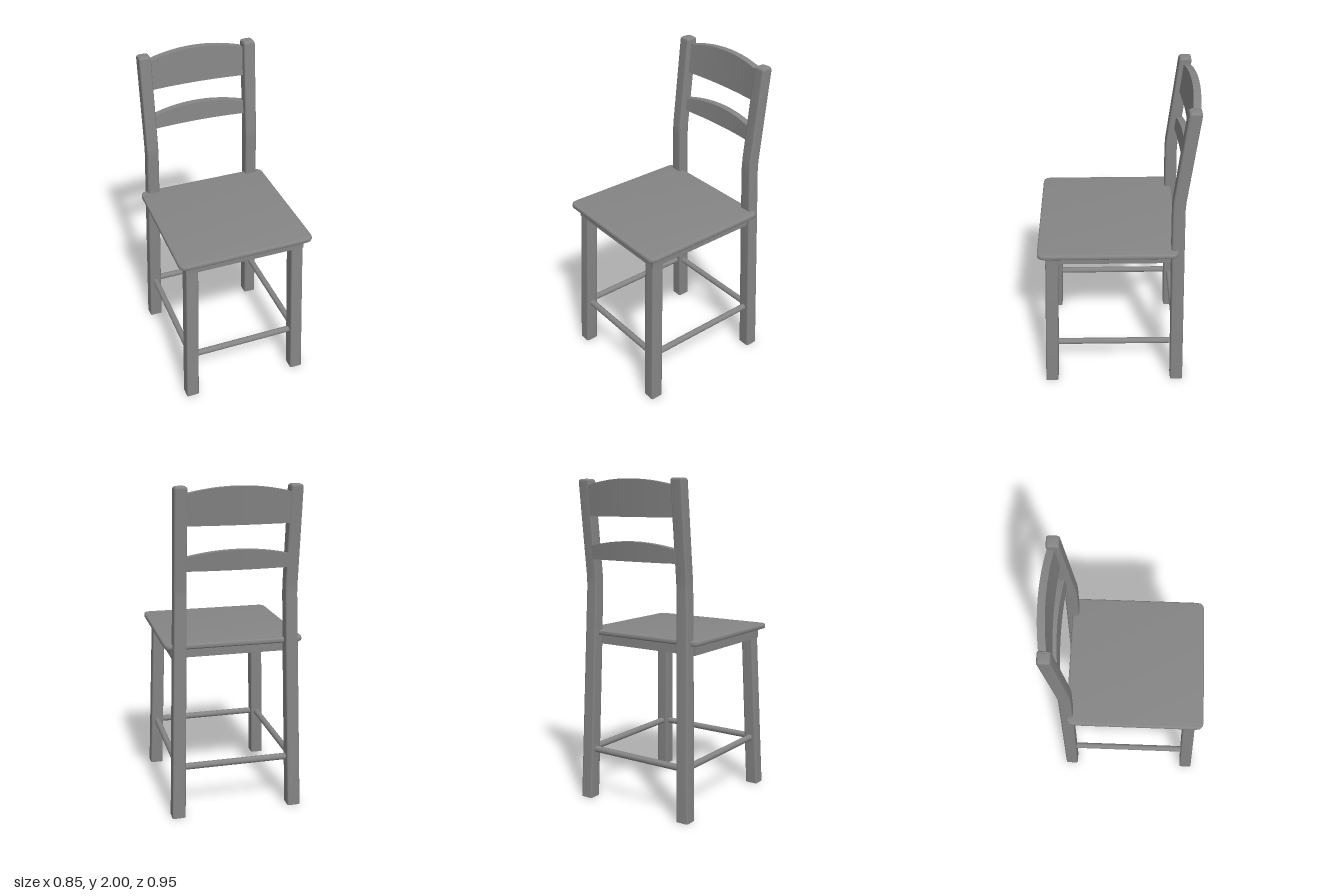
import * as THREE from 'three';
import { toCreasedNormals } from 'three/addons/utils/BufferGeometryUtils.js';

const material = new THREE.MeshStandardMaterial({ color: 0x858585 });

function add(parent, name, geometry) {
  const mesh = new THREE.Mesh(geometry, material);
  mesh.name = name;
  parent.add(mesh);
  return mesh;
}

// Corner points of a square with rounded corners
function roundedSquare(half, radius) {
  const points = [];
  for (let corner = 0; corner < 4; corner++) {
    const mid = Math.PI / 4 + corner * Math.PI / 2;
    const cx = Math.sign(Math.cos(mid)) * (half - radius);
    const cz = Math.sign(Math.sin(mid)) * (half - radius);
    for (let k = -1; k <= 1; k++) {
      const a = mid + k * Math.PI / 4;
      points.push([cx + radius * Math.cos(a), cz + radius * Math.sin(a)]);
    }
  }
  return points;
}

// Square post lofted through stations [y, x, z, half width], with softly shaded ends
function postGeometry(stations) {
  const positions = [], index = [], n = 12;
  for (const [y, x, z, half] of stations) {
    for (const [px, pz] of roundedSquare(half, 0.01)) positions.push(x + px, y, z + pz);
  }
  for (let s = 0; s < stations.length - 1; s++) {
    for (let i = 0; i < n; i++) {
      const a = s * n + i, b = s * n + (i + 1) % n;
      index.push(a, a + n, b, b, a + n, b + n);
    }
  }
  const last = stations.length - 1;
  for (const s of [0, last]) {
    const [y, x, z] = stations[s];
    const centre = positions.length / 3;
    positions.push(x, y, z);
    for (let i = 0; i < n; i++) {
      const a = s * n + i, b = s * n + (i + 1) % n;
      if (s === 0) index.push(centre, a, b);
      else index.push(centre, b, a);
    }
  }
  const geometry = new THREE.BufferGeometry();
  geometry.setAttribute('position', new THREE.Float32BufferAttribute(positions, 3));
  geometry.setIndex(index);
  geometry.computeVertexNormals();
  return geometry;
}

// Seat board with softened corners and a rounded rim
function seatGeometry() {
  const bevel = 0.01, x = 0.423 - bevel, z = 0.422 - bevel, r = 0.035;
  const shape = new THREE.Shape();
  shape.moveTo(-x + r, -z);
  shape.lineTo(x - r, -z);
  shape.quadraticCurveTo(x, -z, x, -z + r);
  shape.lineTo(x, z - r);
  shape.quadraticCurveTo(x, z, x - r, z);
  shape.lineTo(-x + r, z);
  shape.quadraticCurveTo(-x, z, -x, z - r);
  shape.lineTo(-x, -z + r);
  shape.quadraticCurveTo(-x, -z, -x + r, -z);
  const geometry = new THREE.ExtrudeGeometry(shape, {
    depth: 0.012, bevelThickness: 0.01, bevelSize: bevel, bevelSegments: 3, curveSegments: 3,
  });
  geometry.rotateX(-Math.PI / 2);
  geometry.translate(0, 1.06, 0.051);
  return toCreasedNormals(geometry, 0.7);
}

// Back slat: arched top edge, bowed backwards, leaning with the posts
function slatGeometry(bottom, sideTop, midTop, backAtBend) {
  const halfLength = 0.305, thickness = 0.042;
  const geometry = new THREE.BoxGeometry(2 * halfLength, 1, thickness, 20, 1, 1);
  const p = geometry.attributes.position;
  for (let i = 0; i < p.count; i++) {
    const t = p.getX(i) / halfLength;
    const arch = 1 - t * t;
    const top = sideTop + (midTop - sideTop) * arch;
    const y = p.getY(i) > 0 ? top : bottom;
    const back = backAtBend - 0.1 * (y - 1.4) - 0.018 * arch;
    p.setXYZ(i, p.getX(i), y, back + thickness / 2 + p.getZ(i));
  }
  geometry.computeVertexNormals();
  return geometry;
}

// Round rung between two points
function addRung(parent, name, from, to) {
  const a = new THREE.Vector3(...from), b = new THREE.Vector3(...to);
  const rung = add(parent, name, new THREE.CylinderGeometry(0.02, 0.02, a.distanceTo(b), 12));
  rung.position.copy(a).add(b).multiplyScalar(0.5);
  rung.quaternion.setFromUnitVectors(new THREE.Vector3(0, 1, 0), b.sub(a).normalize());
}

export function createModel() {
  const chair = new THREE.Group();
  chair.name = 'chair';

  // Seat board and the solid apron block under it
  add(chair, 'seat', seatGeometry());
  const apron = add(chair, 'apron', new THREE.BoxGeometry(0.756, 0.065, 0.746));
  apron.position.set(0, 1.0195, 0.055);

  // Splayed front legs, and back legs that run up into leaning posts
  for (const [side, s] of [['left', 1], ['right', -1]]) {
    add(chair, side + 'FrontLeg', postGeometry([
      [0, s * 0.368, 0.43, 0.041],
      [0.99, s * 0.338, 0.389, 0.039],
    ]));
    add(chair, side + 'BackPost', postGeometry([
      [0, s * 0.368, -0.402, 0.041],
      [1.0, s * 0.342, -0.371, 0.039],
      [1.36, s * 0.333, -0.361, 0.0375],
      [1.42, s * 0.333, -0.363, 0.0375],
      [1.985, s * 0.333, -0.421, 0.0375],
      [1.995, s * 0.333, -0.422, 0.034],
      [2.0, s * 0.333, -0.422, 0.027],
    ]));
    addRung(chair, side + 'Rung', [s * 0.358, 0.317, 0.4], [s * 0.358, 0.317, -0.375]);
  }

  // Front and back rungs
  addRung(chair, 'frontRung', [-0.34, 0.317, 0.416], [0.34, 0.317, 0.416]);
  addRung(chair, 'backRung', [-0.34, 0.317, -0.39], [0.34, 0.317, -0.39]);

  // Back slats
  add(chair, 'upperSlat', slatGeometry(1.781, 1.96, 1.998, -0.397));
  add(chair, 'lowerSlat', slatGeometry(1.523, 1.603, 1.64, -0.403));

  return chair;
}
